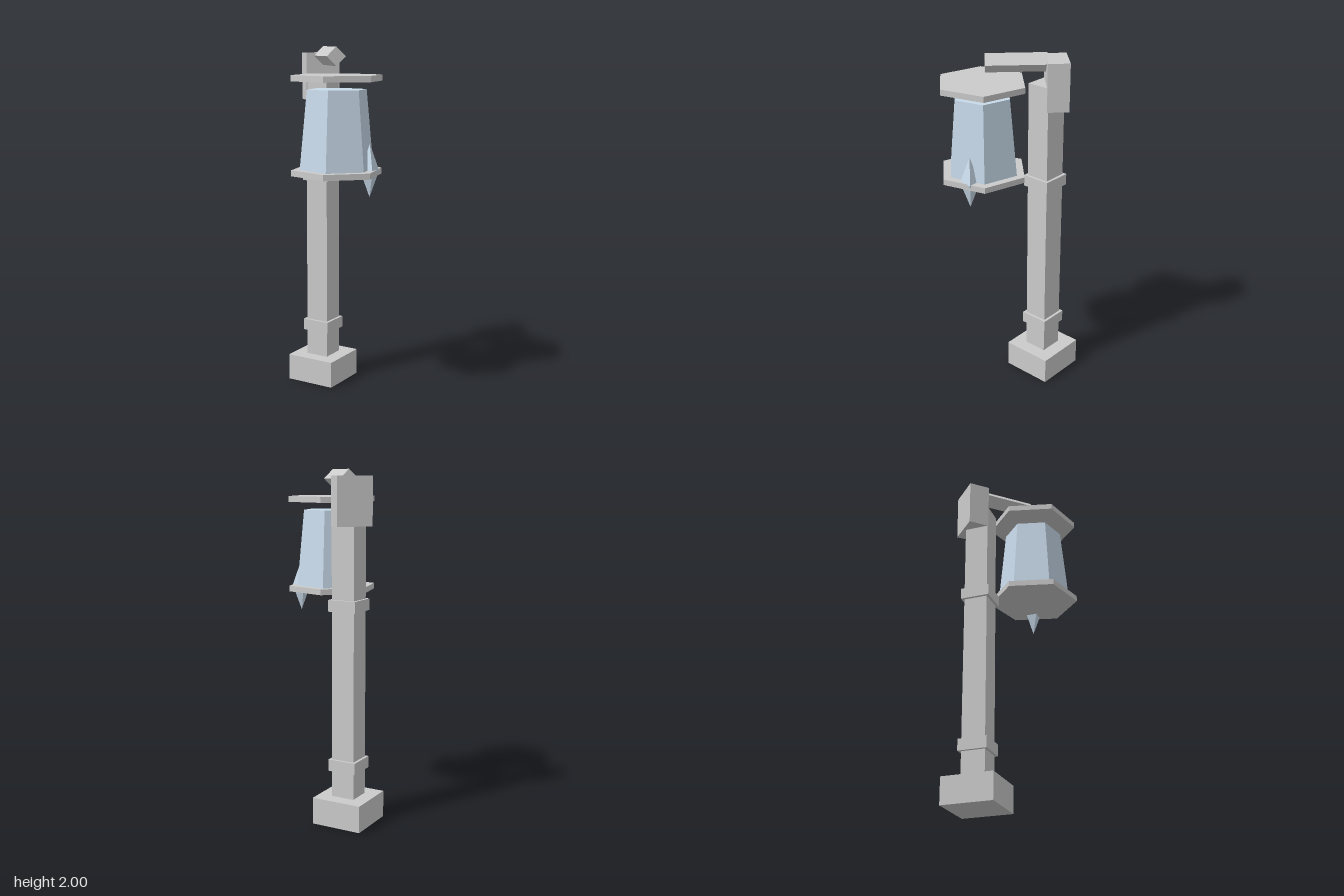
import * as THREE from 'three';

const POST_Z = -0.181;
const LAMP_Z = 0.168;

export function createModel() {
  const model = new THREE.Group();
  model.name = 'streetLantern';
  const stone = new THREE.MeshStandardMaterial({ color: 0xcccccc, flatShading: true });
  const glass = new THREE.MeshStandardMaterial({ color: 0xc8daea, flatShading: true });

  const add = (name, geometry, material, x, y, z) => {
    const mesh = new THREE.Mesh(geometry, material);
    mesh.name = name;
    mesh.position.set(x, y, z);
    model.add(mesh);
    return mesh;
  };

  // Straight or tapered prism between two heights
  const prism = (name, sides, rTop, rBottom, y0, y1, z, material) =>
    add(name, new THREE.CylinderGeometry(rTop, rBottom, y1 - y0, sides), material, 0, (y0 + y1) / 2, z);

  // Square post set cornerwise, with its base and two bands
  prism('base', 4, 0.212, 0.212, 0, 0.155, POST_Z, stone);
  prism('post', 4, 0.098, 0.098, 0.155, 1.83, POST_Z, stone);
  prism('lowerBand', 4, 0.12, 0.12, 0.308, 0.375, POST_Z, stone);
  prism('upperBand', 4, 0.12, 0.12, 1.225, 1.29, POST_Z, stone);

  // Block on the post and the arm reaching forward from it
  add('topBlock', new THREE.BoxGeometry(0.198, 0.27, 0.121), stone, 0, 1.83, -0.2355);
  const arm = add('arm', new THREE.CylinderGeometry(0.053, 0.053, 0.334, 4), stone, 0, 1.947, -0.015);
  arm.rotation.x = Math.PI / 2;

  // Six-sided lantern, corners to the sides
  const lantern = [
    prism('lanternFloor', 6, 0.258, 0.258, 1.3, 1.333, LAMP_Z, stone),
    prism('lanternGlass', 6, 0.168, 0.21, 1.333, 1.77, LAMP_Z, glass),
    prism('lanternLid', 6, 0.258, 0.258, 1.815, 1.848, LAMP_Z, stone),
  ];
  for (const part of lantern) part.rotation.y = Math.PI / 6;

  // Long crystal through the rim of the lantern floor
  add('crystal', new THREE.OctahedronGeometry(1), glass, 0.167, 1.328, 0.246).scale.set(0.054, 0.148, 0.054);

  return model;
}
